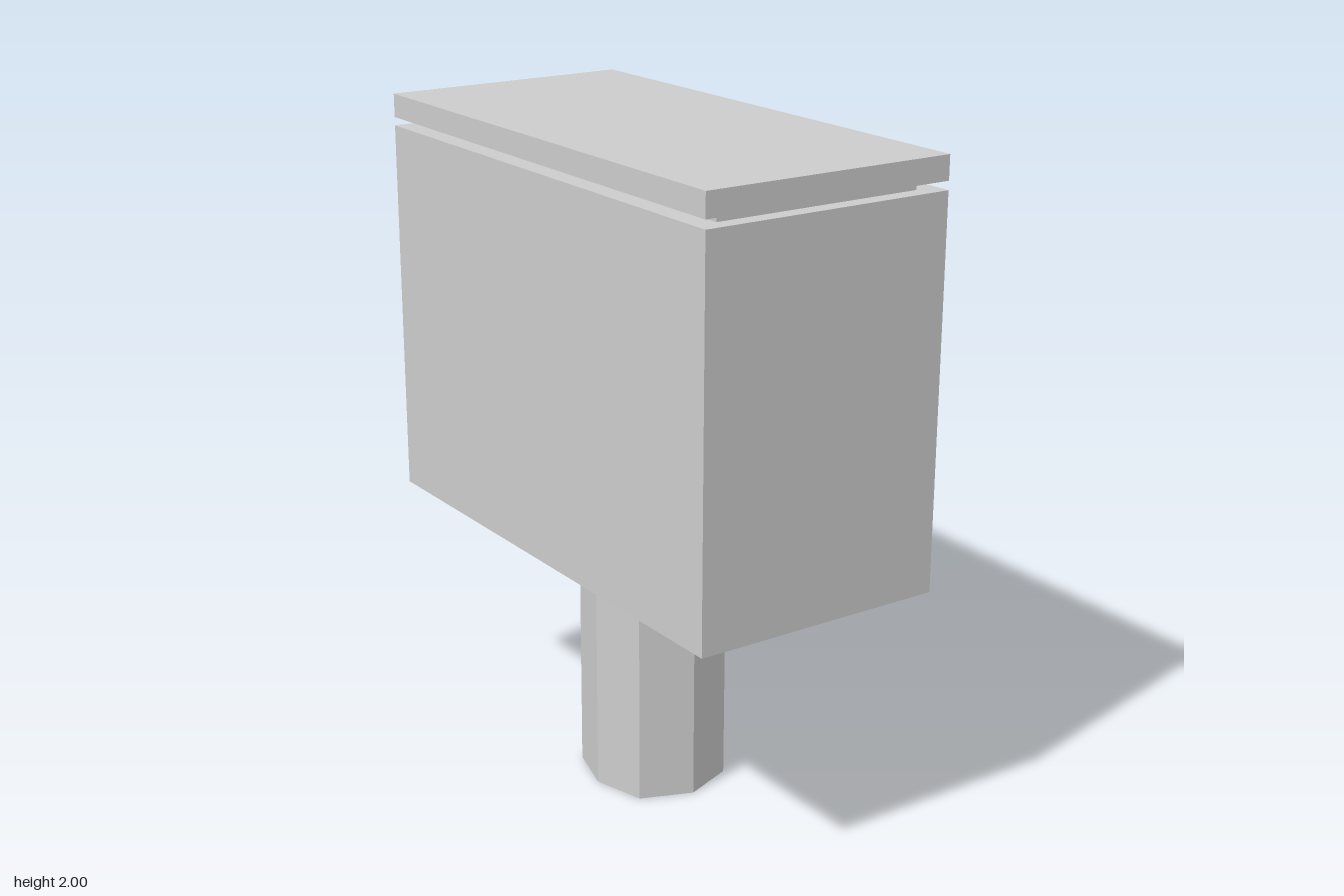
import * as THREE from 'three';

const HX = 0.388, HZ = 0.799;           // half width and half length of the cabinet
const BODY_BOTTOM = 0.77, BODY_TOP = 1.905;
const RECESS_X = HX - 0.18;             // depth plane of the recess backs

const material = new THREE.MeshStandardMaterial({ color: 0xcccccc, flatShading: true });

function addMesh(parent, name, geometry) {
  const mesh = new THREE.Mesh(geometry, material);
  mesh.name = name;
  parent.add(mesh);
  return mesh;
}

function addBox(parent, name, hx, hz, y0, y1) {
  const mesh = addMesh(parent, name, new THREE.BoxGeometry(2 * hx, y1 - y0, 2 * hz));
  mesh.position.y = (y0 + y1) / 2;
  return mesh;
}

// Corners of a rectangle on the side face: u runs towards -z, v runs up
const corners = ([u0, u1, v0, v1]) => [[u0, v0], [u1, v0], [u1, v1], [u0, v1]];

// Funnel of four sloping walls closed by a back panel
function recessGeometry(outer, inner) {
  const o = corners(outer).map(([u, v]) => [HX, v, -u]);
  const n = corners(inner).map(([u, v]) => [RECESS_X, v, -u]);
  const quads = [n];
  for (let i = 0; i < 4; i++) {
    const j = (i + 1) % 4;
    quads.push([o[i], o[j], n[j], n[i]]);
  }
  const points = quads.flatMap(([a, b, c, d]) => [a, b, c, a, c, d]).flat();
  const geometry = new THREE.BufferGeometry();
  geometry.setAttribute('position', new THREE.Float32BufferAttribute(points, 3));
  geometry.computeVertexNormals();
  return geometry;
}

export function createModel() {
  const model = new THREE.Group();
  model.name = 'cabinetOnPost';
  model.rotation.y = -0.0565;

  // Eight-sided post
  const post = new THREE.Shape([
    [0.2, 0], [0.155, 0.16], [0, 0.22], [-0.155, 0.16],
    [-0.2, 0], [-0.155, -0.16], [0, -0.22], [0.155, -0.16],
  ].map(([x, z]) => new THREE.Vector2(x, z)));
  const postGeometry = new THREE.ExtrudeGeometry(post, { depth: BODY_BOTTOM, bevelEnabled: false });
  addMesh(model, 'post', postGeometry.rotateX(-Math.PI / 2));

  // Cabinet shell, without its +x side
  const shell = addBox(model, 'cabinetShell', HX, HZ, BODY_BOTTOM, BODY_TOP);
  shell.geometry.setIndex([...shell.geometry.index.array].slice(6));

  // Recesses: [u0, u1, v0, v1] at the opening and at the back
  const recesses = [
    { name: 'funnelRecess', outer: [-0.779, -0.026, 1.35, 1.89], inner: [-0.543, -0.263, 1.705, 1.82] },
    { name: 'wideRecess', outer: [0.024, 0.779, 1.35, 1.89], inner: [0.037, 0.763, 1.705, 1.86] },
  ];

  // Side panel with the two openings
  const panel = new THREE.Shape(
    corners([-HZ, HZ, BODY_BOTTOM, BODY_TOP]).map(([u, v]) => new THREE.Vector2(u, v)));
  for (const { name, outer, inner } of recesses) {
    panel.holes.push(new THREE.Path(corners(outer).map(([u, v]) => new THREE.Vector2(u, v))));
    addMesh(model, name, recessGeometry(outer, inner));
  }
  const side = addMesh(model, 'sidePanel', new THREE.ShapeGeometry(panel).rotateY(Math.PI / 2));
  side.position.x = HX;

  // Lid on a narrower neck
  addBox(model, 'lidNeck', 0.32, 0.75, BODY_TOP, 1.93);
  addBox(model, 'lid', HX, HZ, 1.93, 2);

  return model;
}
